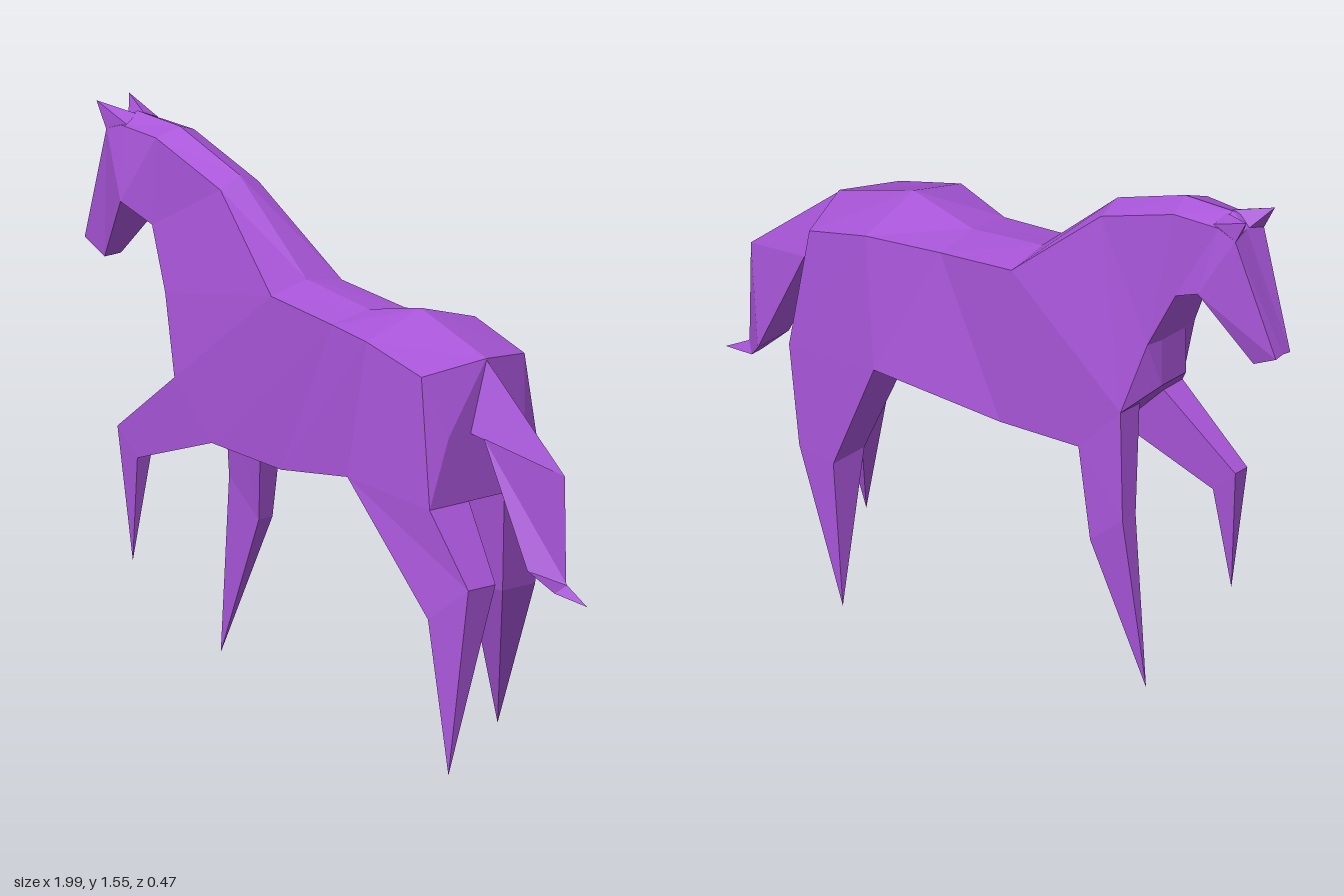
import * as THREE from 'three';

// Skin a run of rings (equal point counts) and close both ends; faces stay flat.
function loft(rings) {
  const pos = [];
  const tri = (a, b, c) => {
    const u = new THREE.Vector3(...a), v = new THREE.Vector3(...b), w = new THREE.Vector3(...c);
    if (v.clone().sub(u).cross(w.clone().sub(u)).length() < 1e-7) return;
    pos.push(...a, ...b, ...c);
  };
  const n = rings[0].length;
  for (let i = 0; i < rings.length - 1; i++) {
    const r = rings[i], s = rings[i + 1];
    for (let j = 0; j < n; j++) {
      const k = (j + 1) % n;
      tri(r[j], r[k], s[j]);
      tri(r[k], s[k], s[j]);
    }
  }
  const first = rings[0], last = rings[rings.length - 1];
  for (let j = 1; j < n - 1; j++) {
    tri(first[0], first[j + 1], first[j]);
    tri(last[0], last[j], last[j + 1]);
  }
  const geo = new THREE.BufferGeometry();
  geo.setAttribute('position', new THREE.Float32BufferAttribute(pos, 3));
  geo.computeVertexNormals();
  return geo;
}

// Ring from a top-centre point and points down the +z side, mirrored to -z.
const mirrored = ([top, ...side]) => [
  [...top, 0], ...side, ...side.slice().reverse().map(([x, y, z]) => [x, y, -z]),
];

// Leg of four-sided sections {rear, front, zr, zf, zi} running down to a point.
function legGeometry(side, sections, tip) {
  const rings = sections.map(({ rear, front, zr, zf, zi }) => [
    [...rear, zr], [...front, zf], [...front, zi], [...rear, zi],
  ]);
  rings.push(Array(4).fill(tip));
  return loft(rings.map((ring) => {
    const r = ring.map(([x, y, z]) => [x, y, z * side]);
    return side < 0 ? r.reverse() : r;
  }));
}

export function createModel() {
  const group = new THREE.Group();
  const purple = new THREE.MeshStandardMaterial({ color: 0xa855d8, flatShading: true });
  purple.name = 'purple';
  const add = (name, geo) => {
    const mesh = new THREE.Mesh(geo, purple);
    mesh.name = name;
    group.add(mesh);
  };

  // Head: muzzle, brow, poll
  const poll = [[-0.82, 1.54], [-0.82, 1.51, 0.06], [-0.78, 1.31, 0.1], [-0.78, 1.31, 0.05]];
  add('head', loft([
    [[-1, 1.16], [-1, 1.155, 0.03], [-0.92, 1.115, 0.03], [-0.92, 1.115, 0.01]],
    [[-0.87, 1.5], [-0.88, 1.49, 0.06], [-0.78, 1.31, 0.1], [-0.78, 1.31, 0.05]],
    poll,
  ].map(mirrored)));

  // Neck, barrel and hindquarters: ridge, upper edge, flank, underside
  add('body', loft([
    poll,
    [[-0.65, 1.53], [-0.67, 1.505, 0.07], [-0.68, 1.26, 0.075], [-0.68, 1.26, 0.04]],
    [[-0.41, 1.44], [-0.41, 1.41, 0.07], [-0.6, 1.09, 0.1], [-0.61, 1.09, 0.05]],
    [[-0.14, 1.2], [-0.14, 1.175, 0.13], [-0.53, 0.87, 0.13], [-0.61, 0.95, 0.05]],
    [[-0.14, 1.2], [-0.14, 1.175, 0.13], [-0.38, 0.715, 0.13], [-0.38, 0.715, 0.05]],
    [[0.11, 1.165], [0.11, 1.145, 0.135], [-0.1, 0.695, 0.13], [-0.1, 0.695, 0.06]],
    [[0.32, 1.21], [0.32, 1.15, 0.2], [0.27, 0.765, 0.225], [0.27, 0.765, 0.06]],
    [[0.585, 1.12], [0.53, 1.09, 0.19], [0.585, 0.73, 0.21], [0.585, 0.73, 0.07]],
    [[0.585, 1.12], [0.585, 0.92, 0.14], [0.585, 0.73, 0.21], [0.585, 0.73, 0.07]],
  ].map(mirrored)));

  // Tail with a centre ridge
  add('tail', loft([
    [[0.58, 1.12], [0.58, 0.92, 0.06]],
    [[0.9, 0.85], [0.65, 0.92, 0.07]],
    [[0.905, 0.55], [0.82, 0.58, 0.065]],
    [[0.91, 0.545], [0.88, 0.52, 0.02]],
    [[0.99, 0.5], [0.99, 0.5, 0]],
  ].map(mirrored)));

  // Ears
  for (const side of [1, -1]) {
    const base = [[-0.87, 1.5, 0.012], [-0.88, 1.485, 0.06], [-0.8, 1.515, 0.058], [-0.81, 1.535, 0.012]]
      .map(([x, y, z]) => [x, y, z * side]);
    if (side < 0) base.reverse();
    base.reverse();
    add(side > 0 ? 'nearEar' : 'farEar', loft([base, Array(4).fill([-0.92, 1.56, 0.06 * side])].map((r) => r.slice().reverse())));
  }

  // Hind legs
  const hip = { rear: [0.585, 0.73], front: [0.27, 0.765], zr: 0.21, zf: 0.225, zi: 0.065 };
  add('nearHindLeg', legGeometry(1, [hip,
    { rear: [0.73, 0.53], front: [0.6, 0.43], zr: 0.2, zf: 0.23, zi: 0.1 }], [0.69, 0.01, 0.237]));
  add('farHindLeg', legGeometry(-1, [hip,
    { rear: [0.54, 0.44], front: [0.41, 0.43], zr: 0.22, zf: 0.23, zi: 0.1 }], [0.37, 0.01, 0.237]));

  // Forelegs, the near one raised
  const shoulder = { rear: [-0.38, 0.715], front: [-0.53, 0.87], zr: 0.13, zf: 0.13, zi: 0.05 };
  add('nearForeleg', legGeometry(1, [shoulder,
    { rear: [-0.69, 0.61], front: [-0.77, 0.685], zr: 0.12, zf: 0.12, zi: 0.07 }], [-0.73, 0.31, 0.1]));
  add('farForeleg', legGeometry(-1, [shoulder,
    { rear: [-0.43, 0.45], front: [-0.55, 0.55], zr: 0.14, zf: 0.145, zi: 0.09 }], [-0.6, 0.04, 0.105]));

  return group;
}
